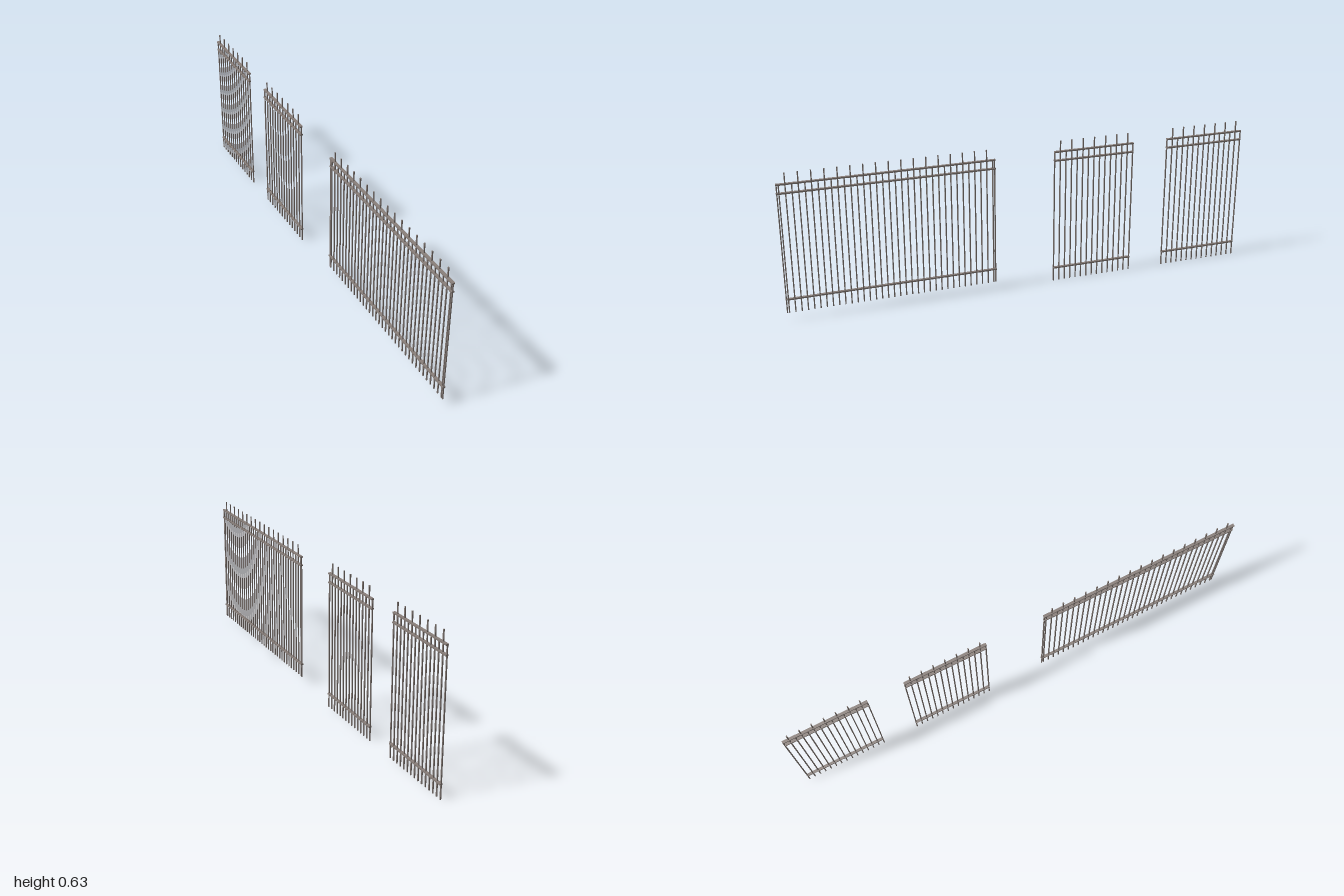
import * as THREE from 'three';

const metal = new THREE.MeshStandardMaterial({ color: 0x8a807b });
const PITCH = 0.0503; // spacing between tall pickets
const BAR = 0.0046;   // picket thickness

function box(parent, name, w, h, d, y, z) {
  const mesh = new THREE.Mesh(new THREE.BoxGeometry(w, h, d), metal);
  mesh.name = name;
  mesh.position.set(0, y, z);
  parent.add(mesh);
}

// An upright bar standing from bottom to top
function upright(parent, name, bottom, top, z) {
  box(parent, name, BAR, top - bottom, BAR, (bottom + top) / 2, z);
}

// One fence panel running along z: tall pickets alternate with short ones
function fencePanel({ name, center, length, tall, bottom, top, rails, endPosts }) {
  const panel = new THREE.Group();
  panel.name = name;
  panel.position.z = center;

  for (let i = 0; i <= tall * 2; i++) {
    const z = (i - tall) * PITCH / 2;
    const isTall = i % 2 === 1;
    upright(panel, isTall ? 'tallPicket' : 'shortPicket', bottom, isTall ? top : rails[0], z);
  }
  // Extra posts at the very ends
  if (endPosts) {
    for (const side of [-1, 1]) {
      upright(panel, 'endPost', bottom, rails[0], side * (length / 2 - BAR / 2 - 0.001));
    }
  }
  // Horizontal rails, wider than the pickets
  for (const y of rails) box(panel, 'rail', 0.0115, 0.006, length, y, 0);
  return panel;
}

export function createModel() {
  const model = new THREE.Group();
  model.name = 'fence';

  // Long panel at the front
  model.add(fencePanel({
    name: 'longPanel', center: 0.561, length: 0.878, tall: 17,
    bottom: 0.035, top: 0.625, rails: [0.579, 0.542, 0.094], endPosts: true,
  }));

  // Two short panels behind it
  [['middlePanel', -0.311], ['backPanel', -0.822]].forEach(([name, center]) => {
    model.add(fencePanel({
      name, center, length: 0.356, tall: 7,
      bottom: 0, top: 0.63, rails: [0.583, 0.545, 0.06], endPosts: false,
    }));
  });

  // The whole run is slightly skewed
  model.rotation.y = -0.0345;
  return model;
}
